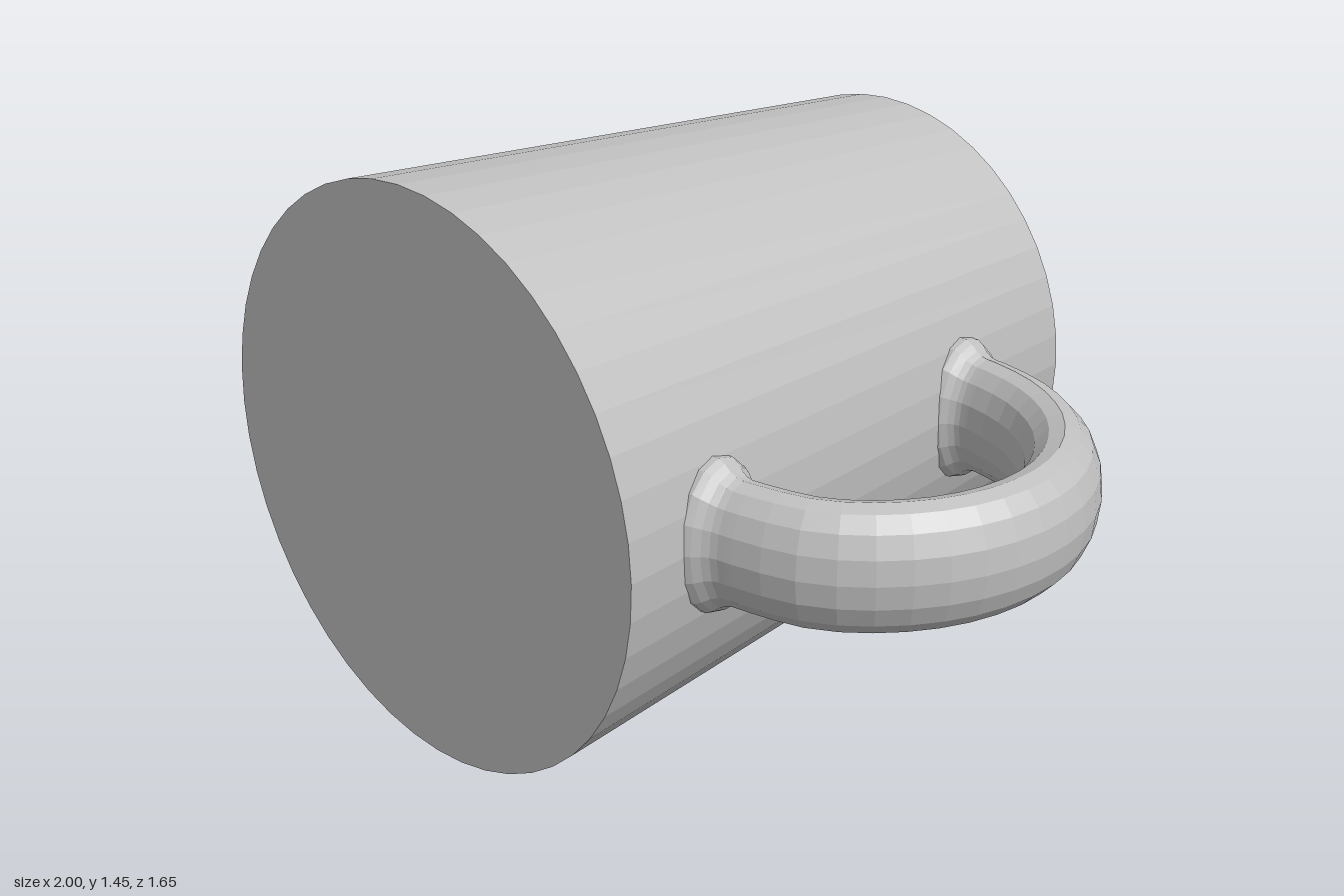
import * as THREE from 'three';

const FRONT_R = 0.723, BACK_R = 0.619, DEPTH = 1.65, CX = -0.277, CY = 0.723;

// Radius of the tapered body at a given z
const bodyRadius = z => BACK_R + (FRONT_R - BACK_R) * (z + DEPTH / 2) / DEPTH;

// Oval tube swept along a curve in the horizontal plane, flared where it meets the body
function handleGeometry(curve, halfThick, halfWide, sides) {
  const stops = [];
  for (let i = 0; i < 9; i++) stops.push(i * 0.01);
  for (let i = 0; i <= 20; i++) stops.push(0.09 + 0.82 * i / 20);
  for (let i = 8; i >= 0; i--) stops.push(1 - i * 0.01);

  const pos = [], index = [];
  stops.forEach((u, i) => {
    const c = curve.getPointAt(u), t = curve.getTangentAt(u);
    const gap = Math.max(0, c.x - CX - bodyRadius(c.z));
    const flare = 0.035 * Math.max(0, 1 - gap / 0.06) ** 2;
    for (let j = 0; j < sides; j++) {
      const a = j / sides * Math.PI * 2;
      const n = Math.cos(a) * (halfThick + flare);
      pos.push(c.x + t.z * n, c.y + Math.sin(a) * (halfWide + flare), c.z - t.x * n);
      if (i === 0) continue;
      const k = (j + 1) % sides, p = (i - 1) * sides, q = i * sides;
      index.push(p + j, p + k, q + j, p + k, q + k, q + j);
    }
  });
  const g = new THREE.BufferGeometry();
  g.setAttribute('position', new THREE.Float32BufferAttribute(pos, 3));
  g.setIndex(index);
  g.computeVertexNormals();
  return g;
}

export function createModel() {
  const group = new THREE.Group();
  group.name = 'mug';
  const grey = new THREE.MeshStandardMaterial({ color: 0xc0c0c0, flatShading: true });
  grey.name = 'grey';

  // Tapered solid body lying along z, wide end to the front
  const bodyGeo = new THREE.CylinderGeometry(FRONT_R, BACK_R, DEPTH, 48);
  bodyGeo.rotateX(Math.PI / 2);
  const body = new THREE.Mesh(bodyGeo, grey);
  body.name = 'body';
  body.position.set(CX, CY, 0);
  group.add(body);

  // Curved handle on the +x side
  const path = new THREE.CatmullRomCurve3([
    [0.31, -0.405], [0.46, -0.4], [0.62, -0.352], [0.77, -0.245], [0.872, -0.09], [0.906, 0.08],
    [0.875, 0.245], [0.79, 0.385], [0.67, 0.483], [0.53, 0.522], [0.37, 0.54],
  ].map(([x, z]) => new THREE.Vector3(x, 0.726, z)));
  const handle = new THREE.Mesh(handleGeometry(path, 0.094, 0.152, 16), grey);
  handle.name = 'handle';
  group.add(handle);

  return group;
}
